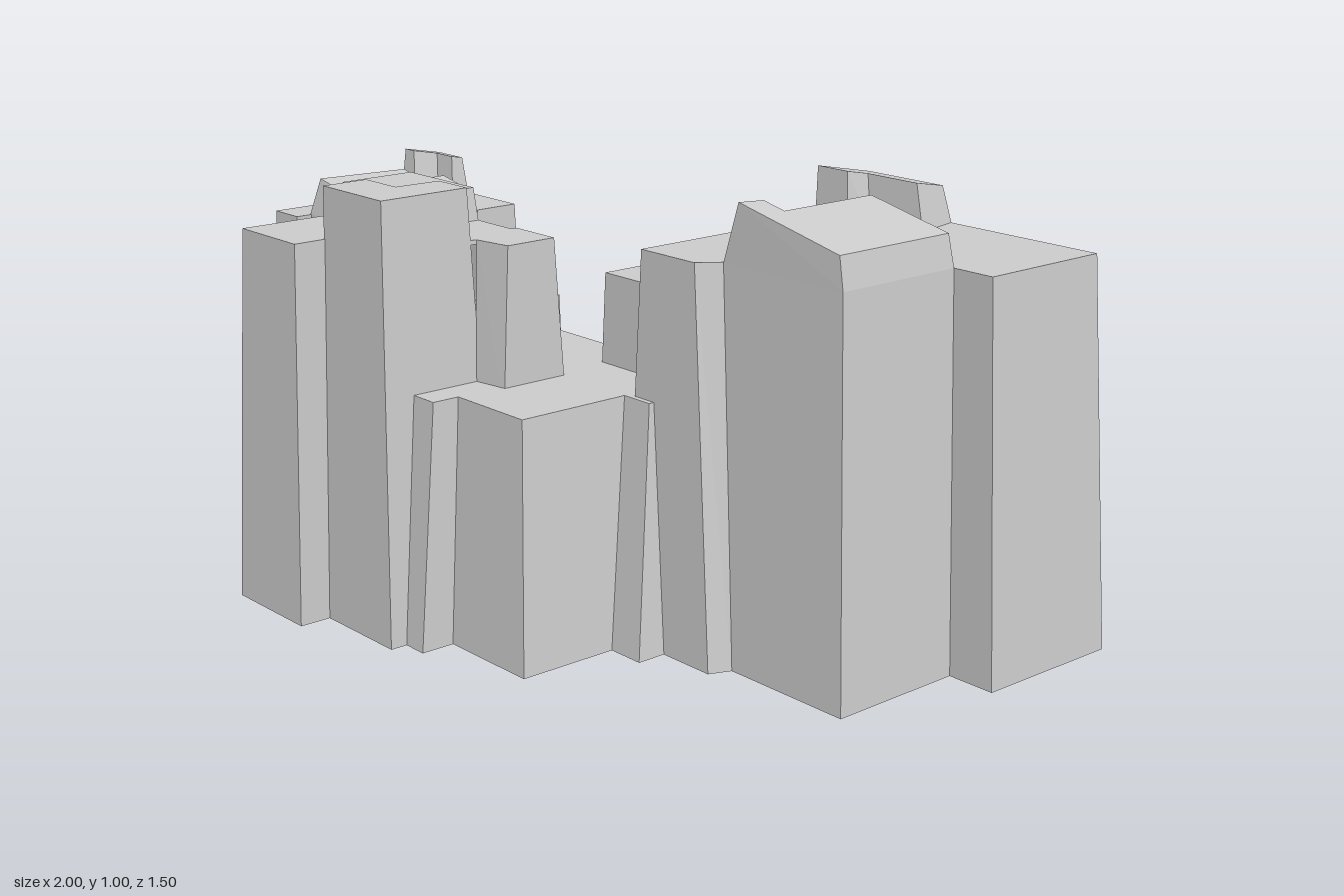
import * as THREE from 'three';

const material = new THREE.MeshStandardMaterial({
  color: 0xcccccc, flatShading: true, side: THREE.DoubleSide,
});

// Tapered rock column, open below. Each corner is [footX, footZ, topX, topZ, wallY], listed from
// back left towards back right. The foot lies at floor, the top is a height or a function of (x, z).
// wallY raises the lower edge of the wall to the next corner, where it meets another column.
function rock(name, top, corners, floor = 0) {
  const height = typeof top === 'function' ? top : () => top;
  const high = corners.map(c => new THREE.Vector3(c[2], height(c[2], c[3]), c[3]));
  const low = (i, y) => new THREE.Vector3(corners[i][0], floor, corners[i][1])
    .lerp(high[i], (y - floor) / (high[i].y - floor));
  const points = [];
  corners.forEach((c, i) => {
    const j = (i + 1) % corners.length;
    const y = c[4] ?? floor;
    points.push(low(i, y), high[i], high[j], low(i, y), high[j], low(j, y));
  });
  const outline = high.map(p => new THREE.Vector2(p.x, -p.z));
  for (const [a, b, c] of THREE.ShapeUtils.triangulateShape(outline, [])) {
    const u = outline[b].clone().sub(outline[a]);
    const v = outline[c].clone().sub(outline[a]);
    const order = u.cross(v) > 0 ? [a, b, c] : [a, c, b];
    order.forEach(k => points.push(high[k]));
  }
  const geometry = new THREE.BufferGeometry().setFromPoints(points);
  geometry.computeVertexNormals();
  const mesh = new THREE.Mesh(geometry, material);
  mesh.name = name;
  return mesh;
}

export function createModel() {
  const model = new THREE.Group();
  model.name = 'rockOutcrop';

  // Low saddle joining the two masses
  model.add(rock('saddle', 0.55, [
    [-0.33, -0.04, -0.28, 0], [-0.07, -0.04, -0.05, 0], [-0.07, -0.31, -0.04, -0.26],
    [0.14, -0.31, 0.16, -0.26, 0.54], [0.31, 0.1, 0.31, 0.1, 0.54], [0.41, 0.2, 0.36, 0.2],
    [0.41, 0.31, 0.36, 0.24], [0.32, 0.31, 0.28, 0.24], [0.32, 0.55, 0.28, 0.515],
    [0.07, 0.55, 0.06, 0.515], [0.07, 0.63, 0.06, 0.58], [0, 0.63, -0.01, 0.58, 0.54],
    [-0.02, 0.3, -0.02, 0.3, 0.54], [-0.28, 0.2, -0.26, 0.2, 0.54], [-0.33, 0.08, -0.28, 0.1],
  ]));

  // Large mass on the left side
  model.add(rock('backTerrace', 0.755, [
    [0.12, -0.56, 0.16, -0.54], [0.42, -0.59, 0.48, -0.57], [0.47, -0.75, 0.54, -0.735],
    [0.77, -0.75, 0.71, -0.735], [0.77, -0.47, 0.71, -0.47, 0.75], [0.31, -0.45, 0.31, -0.45, 0.75],
    [0.31, 0.12, 0.31, 0.1, 0.55], [0.03, 0.12, 0.05, 0.1, 0.55],
    [0.03, -0.03, 0.05, -0.01, 0.55], [0.12, -0.03, 0.16, -0.01, 0.55],
    [0.12, -0.3, 0.16, -0.28],
  ]));
  model.add(rock('mainPlateau', 0.87, [
    [0.3, -0.5, 0.31, -0.47, 0.755], [0.72, -0.5, 0.72, -0.47],
    [1, -0.5, 0.95, -0.47], [1, -0.14, 0.95, -0.145],
    [0.885, -0.14, 0.848, -0.145], [0.89, 0.19, 0.848, 0.172],
    [0.57, 0.19, 0.51, 0.172], [0.55, 0.24, 0.475, 0.22],
    [0.28, 0.24, 0.31, 0.22, 0.5],
  ]));
  model.add(rock('slopedCrown', x => 0.94 + (0.835 - x) * 0.21, [
    [0.61, -0.145, 0.62, -0.14], [0.848, -0.145, 0.835, -0.14], [0.848, 0.172, 0.835, 0.17],
    [0.51, 0.172, 0.55, 0.17], [0.53, 0.1, 0.56, 0.11], [0.61, 0.1, 0.62, 0.11],
  ], 0.87));
  model.add(rock('plateauCrown', (x, z) => 0.985 + (z + 0.29) * 0.2, [
    [0.31, -0.47, 0.31, -0.46], [0.55, -0.47, 0.53, -0.46],
    [0.575, -0.35, 0.545, -0.36], [0.42, -0.35, 0.4, -0.36],
    [0.41, -0.29, 0.4, -0.295], [0.31, -0.29, 0.31, -0.295],
  ], 0.87));

  // Front mass on the right side
  model.add(rock('frontBluff', 0.86, [
    [-0.48, 0.23, -0.44, 0.275, 0.5], [-0.06, 0.23, -0.06, 0.275, 0.5],
    [-0.06, 0.2, -0.06, 0.26, 0.5], [0.08, 0.2, 0.07, 0.26, 0.5], [0.08, 0.43, 0.07, 0.385, 0.5],
    [0, 0.44, -0.02, 0.4, 0.85], [-0.05, 0.55, -0.05, 0.55, 0.85], [-0.23, 0.6, -0.235, 0.6],
    [-0.23, 0.745, -0.235, 0.72], [-0.48, 0.745, -0.445, 0.72],
  ]));
  model.add(rock('frontTower', 0.975, [
    [-0.24, 0.53, -0.24, 0.53, 0.86], [-0.13, 0.53, -0.13, 0.53, 0.86],
    [-0.13, 0.38, -0.125, 0.42, 0.5], [0.01, 0.38, -0.025, 0.42],
    [0.01, 0.67, -0.025, 0.64], [-0.23, 0.67, -0.24, 0.64, 0.85],
  ]));
  model.add(rock('bluffCrown', 0.933, [
    [-0.44, 0.275, -0.43, 0.28], [-0.18, 0.275, -0.19, 0.28], [-0.18, 0.345, -0.19, 0.335],
    [-0.255, 0.355, -0.27, 0.345], [-0.26, 0.5, -0.275, 0.485], [-0.445, 0.475, -0.43, 0.465],
  ], 0.86));
  model.add(rock('backShoulder', 0.67, [
    [-0.48, 0.14, -0.46, 0.165], [-0.35, 0.14, -0.335, 0.165], [-0.35, 0.07, -0.33, 0.09, 0.5],
    [-0.12, 0.07, -0.125, 0.09, 0.5], [-0.12, 0.27, -0.125, 0.27, 0.66],
    [-0.48, 0.27, -0.46, 0.27],
  ]));

  // Side mass at the far right
  model.add(rock('sideTerrace', 0.71, [
    [-0.95, -0.1, -0.93, -0.085], [-0.65, -0.1, -0.63, -0.085], [-0.63, -0.15, -0.61, -0.135],
    [-0.51, -0.15, -0.53, -0.135], [-0.51, 0, -0.53, 0, 0.7], [-0.7, 0, -0.7, 0, 0.7],
    [-0.73, 0.37, -0.7, 0.35], [-1, 0.37, -0.98, 0.35], [-1, 0.04, -0.98, 0.05],
    [-0.95, 0.04, -0.93, 0.05],
  ]));
  model.add(rock('sideBluff', 0.82, [
    [-0.75, -0.04, -0.72, -0.015, 0.7], [-0.53, -0.04, -0.53, -0.015],
    [-0.4, -0.04, -0.425, -0.015], [-0.4, 0.11, -0.425, 0.095],
    [-0.47, 0.11, -0.47, 0.1], [-0.47, 0.45, -0.465, 0.42, 0.67], [-0.66, 0.45, -0.635, 0.42],
    [-0.66, 0.48, -0.635, 0.46], [-0.755, 0.48, -0.725, 0.46], [-0.755, 0.36, -0.725, 0.35, 0.7],
  ]));
  model.add(rock('sideSlopedCrown', x => 0.905 - (x + 0.61) * 0.19, [
    [-0.545, 0.105, -0.53, 0.115], [-0.465, 0.105, -0.475, 0.115], [-0.465, 0.42, -0.48, 0.405],
    [-0.64, 0.42, -0.615, 0.405], [-0.625, 0.17, -0.6, 0.18], [-0.545, 0.17, -0.53, 0.18],
  ], 0.82));
  model.add(rock('sideSmallCrown', (x, z) => 0.925 + (z - 0.09) * 0.2, [
    [-0.72, -0.015, -0.72, -0.01], [-0.61, -0.015, -0.625, -0.01], [-0.605, 0.035, -0.62, 0.025],
    [-0.665, 0.035, -0.68, 0.025], [-0.67, 0.1, -0.685, 0.09], [-0.725, 0.1, -0.72, 0.09],
  ], 0.82));
  model.add(rock('frontStep', 0.675, [
    [-0.67, 0.42, -0.64, 0.42, 0.66], [-0.46, 0.42, -0.45, 0.42],
    [-0.46, 0.585, -0.45, 0.56], [-0.67, 0.585, -0.64, 0.56],
  ]));

  return model;
}
